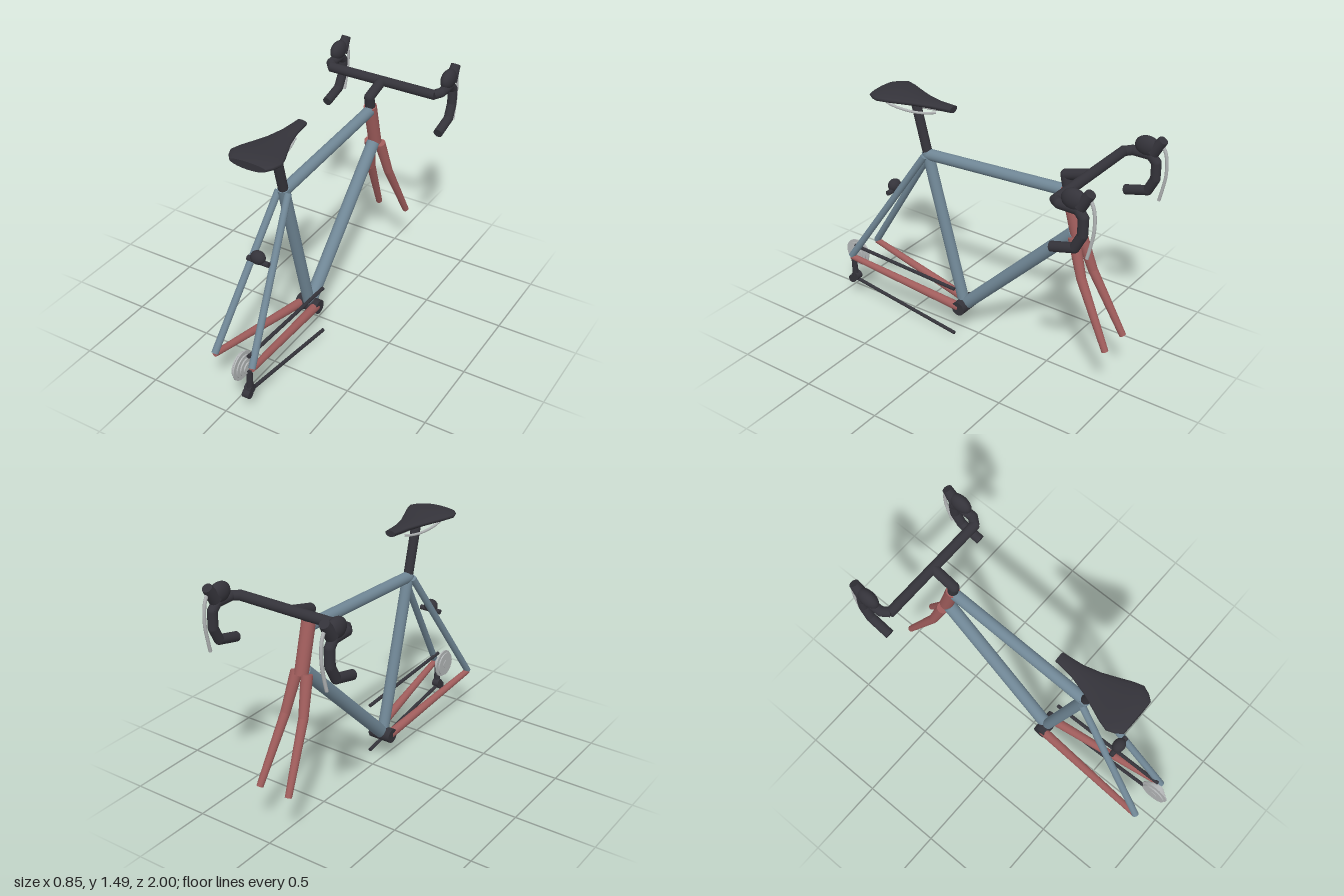
import * as THREE from 'three';

const V = (x, y, z) => new THREE.Vector3(x, y, z);
const mat = (name, color) => {
  const m = new THREE.MeshStandardMaterial({ color });
  m.name = name;
  return m;
};

export function createModel() {
  const blue = mat('slate blue', 0x708796);
  const red = mat('dusty red', 0xa05d5c);
  const dark = mat('charcoal', 0x34333a);
  const silver = mat('silver', 0xb2b5b6);
  const bike = new THREE.Group();
  bike.name = 'bicycleFrame';

  const add = (name, geo, material, parent = bike) => {
    const m = new THREE.Mesh(geo, material);
    m.name = name;
    parent.add(m);
    return m;
  };
  // Tapered tube between two points
  const rod = (name, a, b, ra, rb, material, parent = bike) => {
    const d = b.clone().sub(a);
    const m = add(name, new THREE.CylinderGeometry(rb, ra, d.length(), 20), material, parent);
    m.position.copy(a).addScaledVector(d, 0.5);
    m.quaternion.setFromUnitVectors(V(0, 1, 0), d.normalize());
    return m;
  };
  const ball = (name, p, r, material, parent = bike) => {
    const m = add(name, new THREE.SphereGeometry(1, 20, 14), material, parent);
    m.position.copy(p);
    m.scale.set(...(Array.isArray(r) ? r : [r, r, r]));
    return m;
  };
  // Chain of tubes with rounded joints; radii given per point
  const bent = (name, pts, radii, material) => {
    const g = new THREE.Group();
    g.name = name;
    bike.add(g);
    pts.forEach((p, i) => {
      if (i === 0) return;
      rod(name + 'Section', pts[i - 1], p, radii[i - 1], radii[i], material, g);
      if (i < pts.length - 1) ball(name + 'Joint', p, radii[i], material, g);
    });
  };
  const curveTube = (name, pts, r, material) =>
    add(name, new THREE.TubeGeometry(new THREE.CatmullRomCurve3(pts), 24, r, 8), material);
  const sides = [['left', 1], ['right', -1]];

  // Main frame tubes
  const bottom = V(0, 0.176, 0.107);
  const seatTop = V(0, 1.145, 0.372);
  rod('seatTube', bottom, seatTop, 0.035, 0.035, blue);
  rod('topTube', V(0, 1.128, 0.372), V(0, 1.182, -0.585), 0.035, 0.035, blue);
  rod('downTube', bottom, V(0, 0.935, -0.648), 0.04, 0.04, blue);
  rod('headTube', V(0, 0.92, -0.674), V(0, 1.212, -0.597), 0.04, 0.04, red);
  rod('bottomBracket', V(-0.074, 0.176, 0.107), V(0.074, 0.176, 0.107), 0.045, 0.045, dark);

  // Fork and rear triangle
  for (const [side, s] of sides) {
    bent(side + 'ForkBlade',
      [V(s * 0.036, 0.93, -0.67), V(s * 0.062, 0.7, -0.745), V(s * 0.1, 0.31, -0.943)],
      [0.034, 0.028, 0.02], red);
    rod(side + 'SeatStay', V(s * 0.032, 1.125, 0.372), V(s * 0.125, 0.305, 0.908), 0.021, 0.021, blue);
    rod(side + 'ChainStay', V(s * 0.048, 0.176, 0.115), V(s * 0.125, 0.3, 0.908), 0.029, 0.019, red);
  }

  // Seat post and saddle
  rod('seatPost', seatTop, V(0, 1.45, 0.452), 0.029, 0.029, dark);
  const sections = [ // z, half width, bottom, top
    [0.7, 0.115, 1.436, 1.482], [0.665, 0.142, 1.433, 1.49], [0.62, 0.16, 1.433, 1.493],
    [0.56, 0.142, 1.433, 1.491], [0.49, 0.112, 1.435, 1.486], [0.4, 0.075, 1.436, 1.482],
    [0.3, 0.047, 1.438, 1.481], [0.22, 0.037, 1.44, 1.482], [0.175, 0.033, 1.443, 1.482],
  ];
  const n = 20, pos = [], idx = [];
  for (const [z, w, lo, hi] of sections) {
    const edge = lo + (hi - lo) * 0.62;
    for (let j = 0; j < n; j++) {
      const a = (j / n) * Math.PI * 2, sn = Math.sin(a);
      pos.push(w * Math.cos(a), edge + sn * (sn > 0 ? hi - edge : edge - lo), z);
    }
  }
  for (let i = 0; i < sections.length - 1; i++) {
    for (let j = 0; j < n; j++) {
      const a = i * n + j, b = i * n + (j + 1) % n;
      idx.push(a, a + n, b, b, a + n, b + n);
    }
  }
  // Flat saddle ends with their own corners
  for (const last of [false, true]) {
    const src = last ? (sections.length - 1) * n : 0, base = pos.length / 3;
    for (let j = 0; j < n * 3; j++) pos.push(pos[src * 3 + j]);
    for (let j = 1; j < n - 1; j++) {
      idx.push(base, last ? base + j + 1 : base + j, last ? base + j : base + j + 1);
    }
  }
  const saddleGeo = new THREE.BufferGeometry();
  saddleGeo.setAttribute('position', new THREE.Float32BufferAttribute(pos, 3));
  saddleGeo.setIndex(idx);
  saddleGeo.computeVertexNormals();
  add('saddle', saddleGeo, dark);
  for (const [side, s] of sides) {
    curveTube(side + 'SaddleRail', [
      V(s * 0.068, 1.445, 0.66), V(s * 0.055, 1.408, 0.59), V(s * 0.045, 1.397, 0.45),
      V(s * 0.036, 1.408, 0.35), V(s * 0.024, 1.425, 0.28),
    ], 0.008, silver);
  }

  // Stem and handlebar
  bent('stem', [V(0, 1.2, -0.6), V(0, 1.278, -0.582), V(0, 1.322, -0.735)], [0.032, 0.031, 0.031], dark);
  rod('handlebar', V(-0.36, 1.322, -0.735), V(0.36, 1.322, -0.735), 0.03, 0.03, dark);
  for (const [side, s] of sides) {
    bent(side + 'Drop', [
      V(s * 0.35, 1.322, -0.735), V(s * 0.382, 1.328, -0.775), V(s * 0.383, 1.328, -0.89),
      V(s * 0.385, 1.29, -0.925), V(s * 0.387, 1.19, -0.925), V(s * 0.39, 1.105, -0.882),
      V(s * 0.391, 1.068, -0.742),
    ], Array(7).fill(0.029), dark);
    ball(side + 'Hood', V(s * 0.382, 1.378, -0.865), [0.041, 0.06, 0.076], dark);
    rod(side + 'HoodHorn', V(s * 0.382, 1.35, -0.9), V(s * 0.381, 1.436, -0.958), 0.038, 0.029, dark);
    curveTube(side + 'BrakeLever', [
      V(s * 0.382, 1.405, -0.958), V(s * 0.382, 1.35, -0.982), V(s * 0.384, 1.24, -0.99),
      V(s * 0.386, 1.13, -0.972), V(s * 0.388, 1.065, -0.957),
    ], 0.01, silver);
  }

  // Rear lamp on its crossbar
  rod('lampBar', V(-0.07, 0.815, 0.633), V(0.07, 0.815, 0.633), 0.016, 0.016, dark);
  ball('lamp', V(0, 0.842, 0.635), [0.046, 0.041, 0.037], dark);

  // Cassette
  const hub = V(0.07, 0.3, 0.91);
  [[0.047, 0.078], [0.063, 0.09], [0.076, 0.072], [0.088, 0.055], [0.1, 0.036]].forEach(([x, r], i) =>
    rod('sprocket' + (i + 1), V(x - 0.004, hub.y, hub.z), V(x + 0.004, hub.y, hub.z), r, r, silver));
  rod('cassetteCore', V(0.04, hub.y, hub.z), V(0.104, hub.y, hub.z), 0.028, 0.028, silver);

  // Derailleur and chain runs
  rod('derailleurHanger', V(0.108, 0.29, 0.908), V(0.104, 0.15, 0.905), 0.017, 0.02, dark);
  for (const [name, y, z, r] of [['upperPulley', 0.148, 0.9, 0.028], ['lowerPulley', 0.122, 0.925, 0.026]]) {
    rod(name, V(0.078, y, z), V(0.122, y, z), r, r, dark);
  }
  rod('upperChain', V(0.098, 0.37, 0.9), V(0.098, 0.332, 0.112), 0.011, 0.011, dark);
  rod('lowerChain', V(0.1, 0.128, 0.91), V(0.1, 0.013, 0.112), 0.011, 0.011, dark);

  return bike;
}
